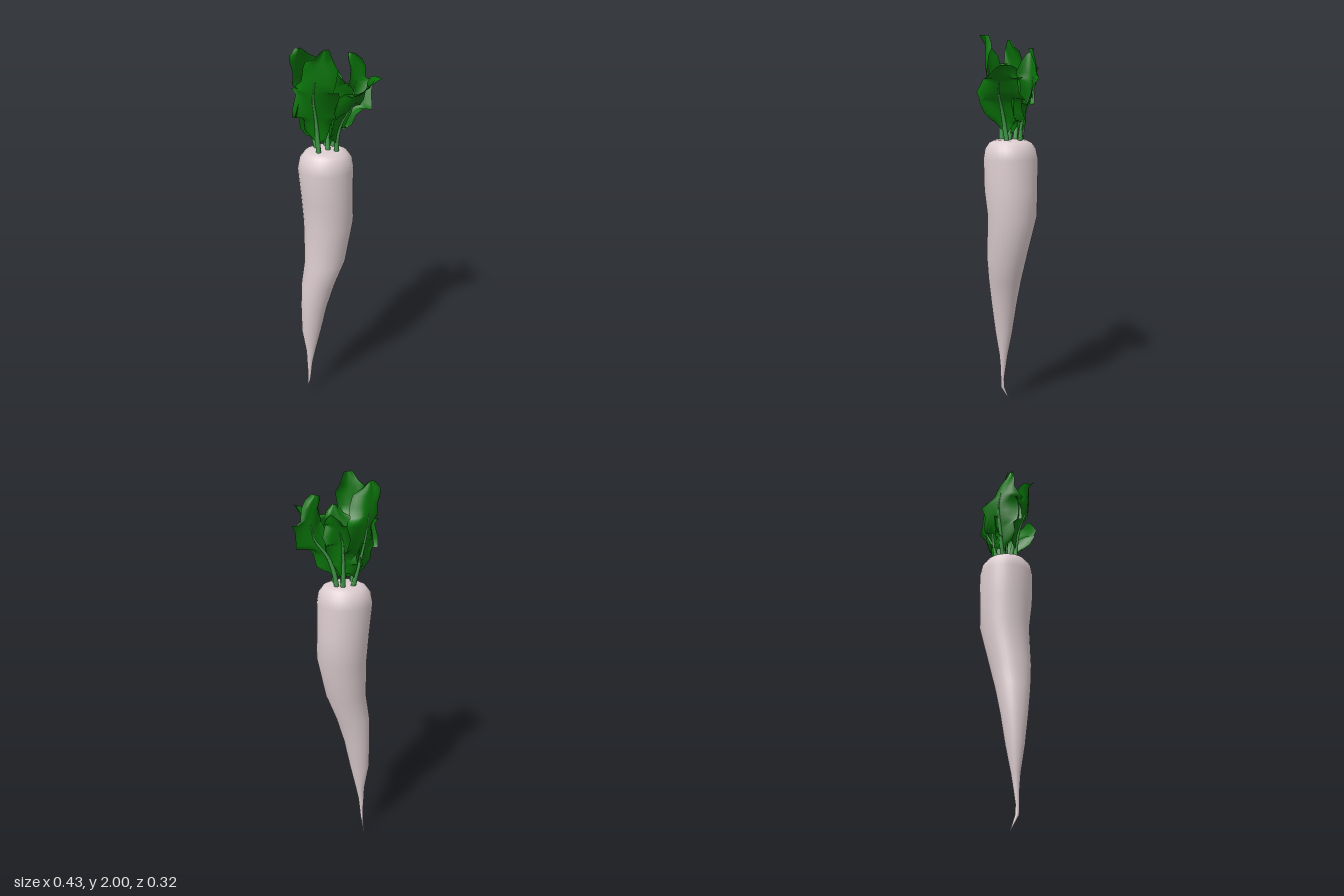
import * as THREE from 'three';

const rootMat = new THREE.MeshStandardMaterial({ color: 0xdccccf });
const leafMat = new THREE.MeshStandardMaterial({ color: 0x0a720a, side: THREE.DoubleSide });
const stemMat = new THREE.MeshStandardMaterial({ color: 0x459a4c });

// Smooth surface through a grid of points: rows x cols, point(i, j) -> [x, y, z]
function gridSurface(rows, cols, point) {
  const pos = [], idx = [];
  for (let i = 0; i <= rows; i++)
    for (let j = 0; j <= cols; j++) pos.push(...point(i, j));
  for (let i = 0; i < rows; i++)
    for (let j = 0; j < cols; j++) {
      const a = i * (cols + 1) + j, b = a + cols + 1;
      idx.push(a, a + 1, b, b, a + 1, b + 1);
    }
  const g = new THREE.BufferGeometry();
  g.setAttribute('position', new THREE.Float32BufferAttribute(pos, 3));
  g.setIndex(idx);
  g.computeVertexNormals();
  return g;
}

// Root sections from tip to crown: y, x min, x max, z min, z max
const sections = [
  [0, -0.157, -0.155, -0.034, -0.032],
  [0.08, -0.152, -0.138, -0.006, 0.014],
  [0.13, -0.152, -0.133, -0.003, 0.016],
  [0.2, -0.155, -0.125, -0.012, 0.018],
  [0.28, -0.158, -0.108, -0.022, 0.026],
  [0.42, -0.18, -0.075, -0.047, 0.049],
  [0.58, -0.182, -0.041, -0.067, 0.071],
  [0.72, -0.177, 0.002, -0.087, 0.09],
  [0.86, -0.157, 0.057, -0.109, 0.106],
  [1.08, -0.156, 0.102, -0.156, 0.104],
  [1.22, -0.167, 0.101, -0.16, 0.12],
  [1.38, -0.181, 0.1, -0.162, 0.122],
  [1.43, -0.171, 0.092, -0.151, 0.114],
  [1.462, -0.147, 0.069, -0.128, 0.092],
  [1.476, -0.115, 0.038, -0.096, 0.062],
  [1.478, -0.04, -0.038, -0.02, -0.018],
];

function makeRoot() {
  const n = 32;
  const g = gridSurface(sections.length - 1, n, (i, j) => {
    const [y, x0, x1, z0, z1] = sections[i], a = (j % n) / n * Math.PI * 2;
    return [(x0 + x1) / 2 + (x1 - x0) / 2 * Math.sin(a), y,
      (z0 + z1) / 2 + (z1 - z0) / 2 * Math.cos(a)];
  });
  // Match the normals along the seam
  const nor = g.attributes.normal, v = new THREE.Vector3(), w = new THREE.Vector3();
  for (let i = 0; i < sections.length; i++) {
    const a = i * (n + 1), b = a + n;
    v.fromBufferAttribute(nor, a).add(w.fromBufferAttribute(nor, b)).normalize();
    nor.setXYZ(a, v.x, v.y, v.z);
    nor.setXYZ(b, v.x, v.y, v.z);
  }
  const mesh = new THREE.Mesh(g, rootMat);
  mesh.name = 'root';
  return mesh;
}

// Leaves: spine from crown to tip, blade direction angle (about y), half width, cupping
const leaves = [
  { name: 'rightFrontLeaf', spine: [[0.01, 1.47, 0.01], [0.02, 1.6, 0.03], [0.1, 1.75, 0.07], [0.2, 1.85, 0.05]], turn: 1.0, width: 0.12, cup: 0.03 },
  { name: 'rightBackLeaf', spine: [[0, 1.47, -0.06], [0.03, 1.6, -0.07], [0.12, 1.75, -0.095], [0.1, 1.93, -0.1]], turn: 0.35, width: 0.085, cup: -0.05 },
  { name: 'leftBackLeaf', spine: [[-0.08, 1.47, -0.05], [-0.11, 1.6, -0.07], [-0.145, 1.79, -0.09], [-0.16, 1.98, -0.03]], turn: 0.75, width: 0.11, cup: -0.04 },
  { name: 'leftFrontLeaf', spine: [[-0.08, 1.47, 0.02], [-0.09, 1.62, 0.03], [-0.11, 1.8, 0.08], [-0.06, 2.0, 0.11]], turn: -0.35, width: 0.11, cup: 0.04 },
  { name: 'middleLeaf', spine: [[-0.03, 1.47, -0.01], [-0.03, 1.57, -0.02], [-0.025, 1.72, 0.0], [0.01, 1.86, 0.02]], turn: -0.2, width: 0.11, cup: 0.05 },
  { name: 'backLeaf', spine: [[-0.03, 1.47, -0.07], [-0.03, 1.6, -0.09], [-0.02, 1.73, -0.1], [0.03, 1.84, -0.13]], turn: 0.1, width: 0.08, cup: -0.02 },
];

function makeLeaf({ name, spine, turn, width, cup }, k) {
  const group = new THREE.Group();
  group.name = name;
  const curve = new THREE.CatmullRomCurve3(spine.map(p => new THREE.Vector3(...p)));
  const side = new THREE.Vector3(Math.cos(turn), 0, -Math.sin(turn));
  const out = new THREE.Vector3(Math.sin(turn), 0, Math.cos(turn));

  // Ruffled blade, narrow at the stalk, widest past the middle, ragged at the rim
  const rows = 14, cols = 10;
  const blade = gridSurface(rows, cols, (i, j) => {
    const u = i / rows, v = j / cols * 2 - 1;
    const w = width * Math.pow(Math.sin(Math.PI * Math.pow(u, 1.05) * 0.96 + 0.06), 0.8);
    const ragged = 1 + 0.16 * Math.sin(i * 1.9 + k * 1.7 + Math.sign(v));
    const p = curve.getPoint(0.13 + 0.87 * u);
    const ruffle = 0.03 * v * v * Math.sin(u * 10 + k * 2 + v * 2) * Math.min(1, u * 3);
    p.addScaledVector(side, w * v * ragged);
    p.addScaledVector(out, -cup * v * v * Math.sin(Math.PI * u) + ruffle);
    p.y += 0.03 * Math.abs(v) * Math.sin(i * 1.5 + k) * u * (1 - u) * 4;
    p.y = Math.min(p.y, 2);
    return p.toArray();
  });
  const bladeMesh = new THREE.Mesh(blade, leafMat);
  bladeMesh.name = 'blade';

  // Stalk running up along the middle of the blade, tapering
  const sides = 8, steps = 10;
  const stalkCurve = new THREE.CatmullRomCurve3(
    [0, 0.2, 0.4, 0.6, 0.75].map(t => curve.getPoint(t)));
  const stalk = new THREE.TubeGeometry(stalkCurve, steps, 0.013, sides);
  const pos = stalk.attributes.position, q = new THREE.Vector3();
  for (let i = 0; i < pos.count; i++) {
    const t = Math.floor(i / (sides + 1)) / steps;
    q.fromBufferAttribute(pos, i).lerp(stalkCurve.getPointAt(t), t * 0.8);
    pos.setXYZ(i, q.x, q.y, q.z);
  }
  const stalkMesh = new THREE.Mesh(stalk, stemMat);
  stalkMesh.name = 'stalk';
  group.add(bladeMesh, stalkMesh);
  return group;
}

export function createModel() {
  const model = new THREE.Group();
  model.name = 'rootVegetable';
  model.add(makeRoot());
  leaves.forEach((leaf, k) => model.add(makeLeaf(leaf, k)));
  return model;
}
